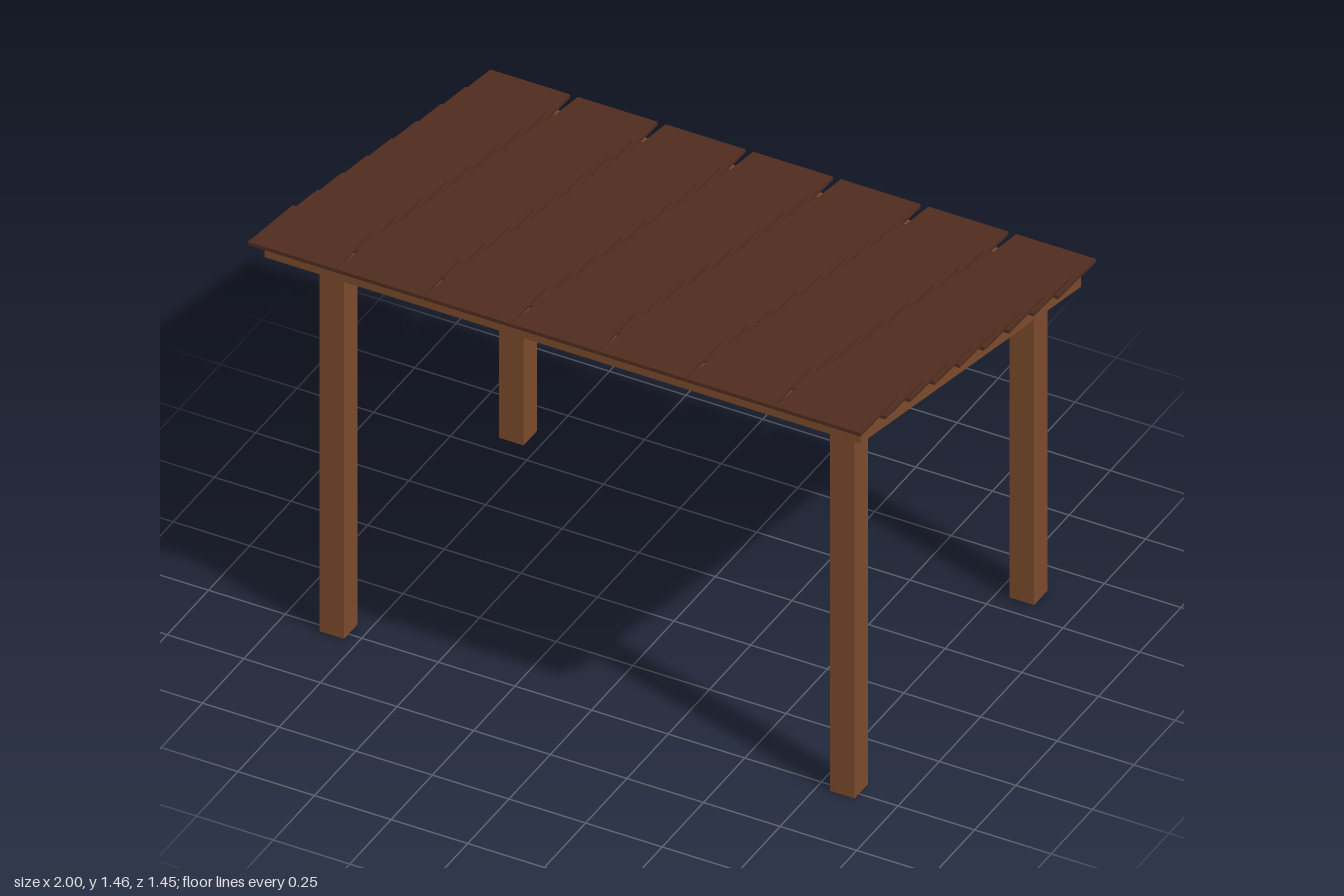
import * as THREE from 'three';

const wood = new THREE.MeshStandardMaterial({ color: 0x7a4a2a, flatShading: true });
const shingleBrown = new THREE.MeshStandardMaterial({ color: 0x502d1f, flatShading: true });

// Sloping board with upright ends: each end gives z, top height and half width
function slopedBoard(high, low, thickness) {
  const geometry = new THREE.BoxGeometry(2, 1, 1);
  const p = geometry.attributes.position;
  for (let i = 0; i < p.count; i++) {
    const end = p.getZ(i) > 0 ? high : low;
    const y = p.getY(i) > 0 ? end.y : end.y - thickness;
    p.setXYZ(i, p.getX(i) * end.half, y, end.z);
  }
  geometry.computeVertexNormals();
  return geometry;
}

function addMesh(parent, name, geometry, material, x = 0, y = 0, z = 0) {
  const mesh = new THREE.Mesh(geometry, material);
  mesh.name = name;
  mesh.position.set(x, y, z);
  parent.add(mesh);
  return mesh;
}

export function createModel() {
  const shelter = new THREE.Group();
  shelter.name = 'leanToShelter';

  // Four square posts, taller at the front
  const posts = [
    { name: 'FrontPost', z: 0.487, height: 1.345 },
    { name: 'BackPost', z: -0.6, height: 1.118 },
  ];
  for (const { name, z, height } of posts) {
    for (const side of [-1, 1]) {
      addMesh(shelter, (side > 0 ? 'left' : 'right') + name,
        new THREE.BoxGeometry(0.08, height, 0.08), wood, side * 0.833, height / 2, z);
    }
  }

  // Roof deck, falling towards the back
  addMesh(shelter, 'roofDeck', slopedBoard(
    { z: 0.675, y: 1.424, half: 0.973 },
    { z: -0.66, y: 1.14, half: 0.973 }, 0.045), wood);

  // Overlapping rows of shingles, each narrowing towards its lower end
  const shingles = new THREE.Group();
  shingles.name = 'shingles';
  shelter.add(shingles);
  const rows = 9, columns = 7;
  for (let row = 0; row < rows; row++) {
    const z = 0.725 - row * 0.1495;
    const y = 1.456 - row * 0.0333;
    const drop = row === 0 ? 0.024 : 0.03;
    const geometry = slopedBoard(
      { z, y, half: 0.1415 },
      { z: z - 0.25, y: y - drop, half: 0.13 }, 0.012);
    for (let column = 0; column < columns; column++) {
      addMesh(shingles, 'shingle', geometry, shingleBrown, (column - 3) * 0.286);
    }
  }
  return shelter;
}
